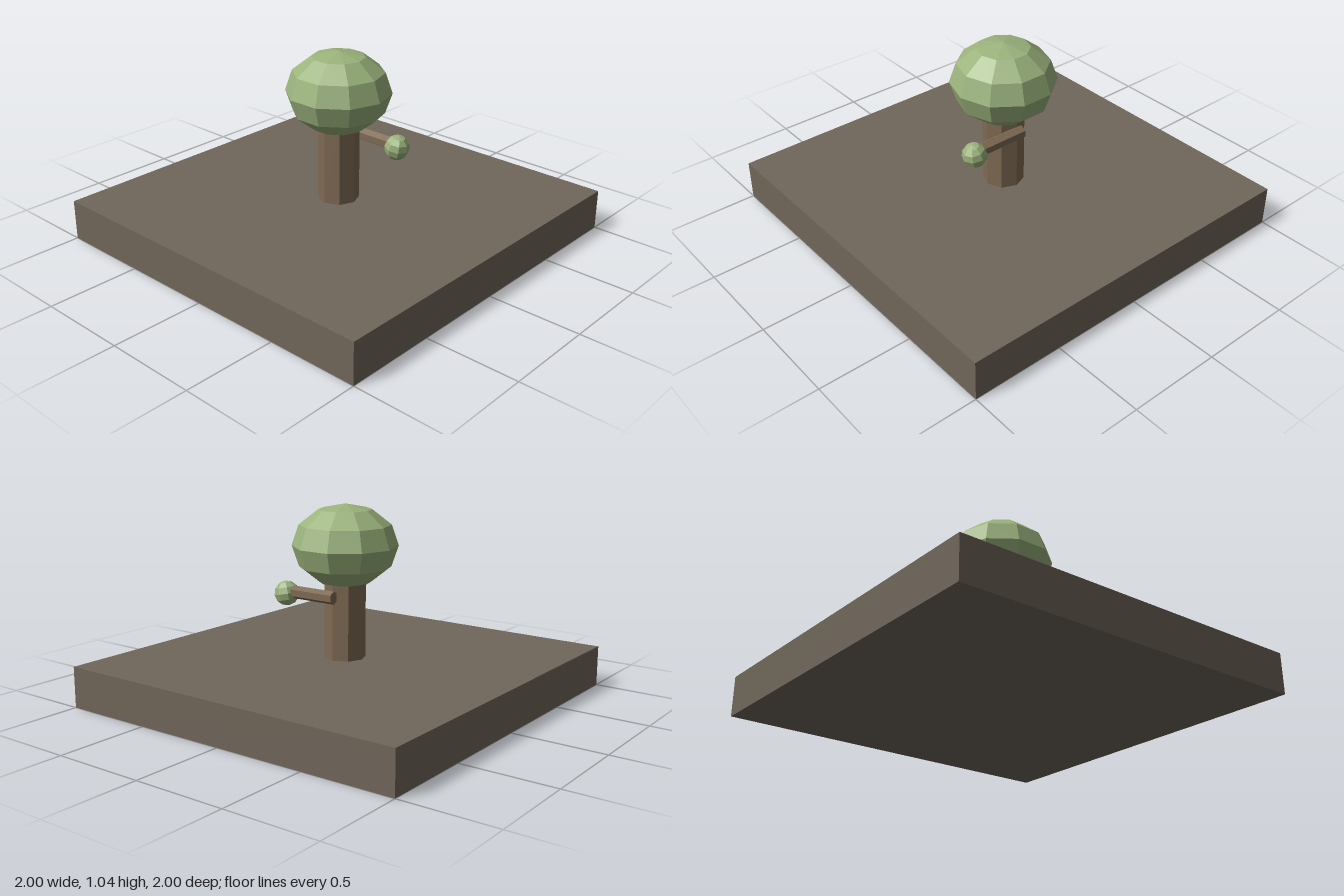
import * as THREE from 'three';

const material = (color) => new THREE.MeshStandardMaterial({ color, flatShading: true });

function addPart(parent, name, geometry, mat, x, y, z) {
  const mesh = new THREE.Mesh(geometry, mat);
  mesh.name = name;
  mesh.position.set(x, y, z);
  parent.add(mesh);
  return mesh;
}

export function createModel() {
  const model = new THREE.Group();
  model.name = 'treeOnSlab';
  const soil = material(0x70675a);
  const bark = material(0x7f6a53);
  const leaf = material(0x9bb37c);

  // Square ground slab
  addPart(model, 'groundSlab', new THREE.BoxGeometry(2, 0.22, 2), soil, 0, 0.11, 0);

  // Eight-sided trunk, its top hidden in the crown
  addPart(model, 'trunk', new THREE.CylinderGeometry(0.11, 0.11, 0.48, 8), bark, 0, 0.46, 0);

  // Squashed ten-sided crown with corners towards front and back
  const crown = new THREE.SphereGeometry(0.28, 10, 6).rotateY(Math.PI / 2).scale(1, 0.22 / 0.28, 1);
  addPart(model, 'crown', crown, leaf, 0, 0.82, 0);

  // Six-sided branch running forward along the trunk's left side
  const branch = new THREE.CylinderGeometry(0.035, 0.035, 0.3, 6).rotateX(Math.PI / 2);
  addPart(model, 'branch', branch, bark, 0.125, 0.562, 0.13);

  // Small leaf ball at the branch tip, leaning forward
  const ball = addPart(model, 'leafBall', new THREE.SphereGeometry(0.067, 8, 6), leaf, 0.125, 0.55, 0.295);
  ball.rotation.x = 0.2;

  return model;
}
